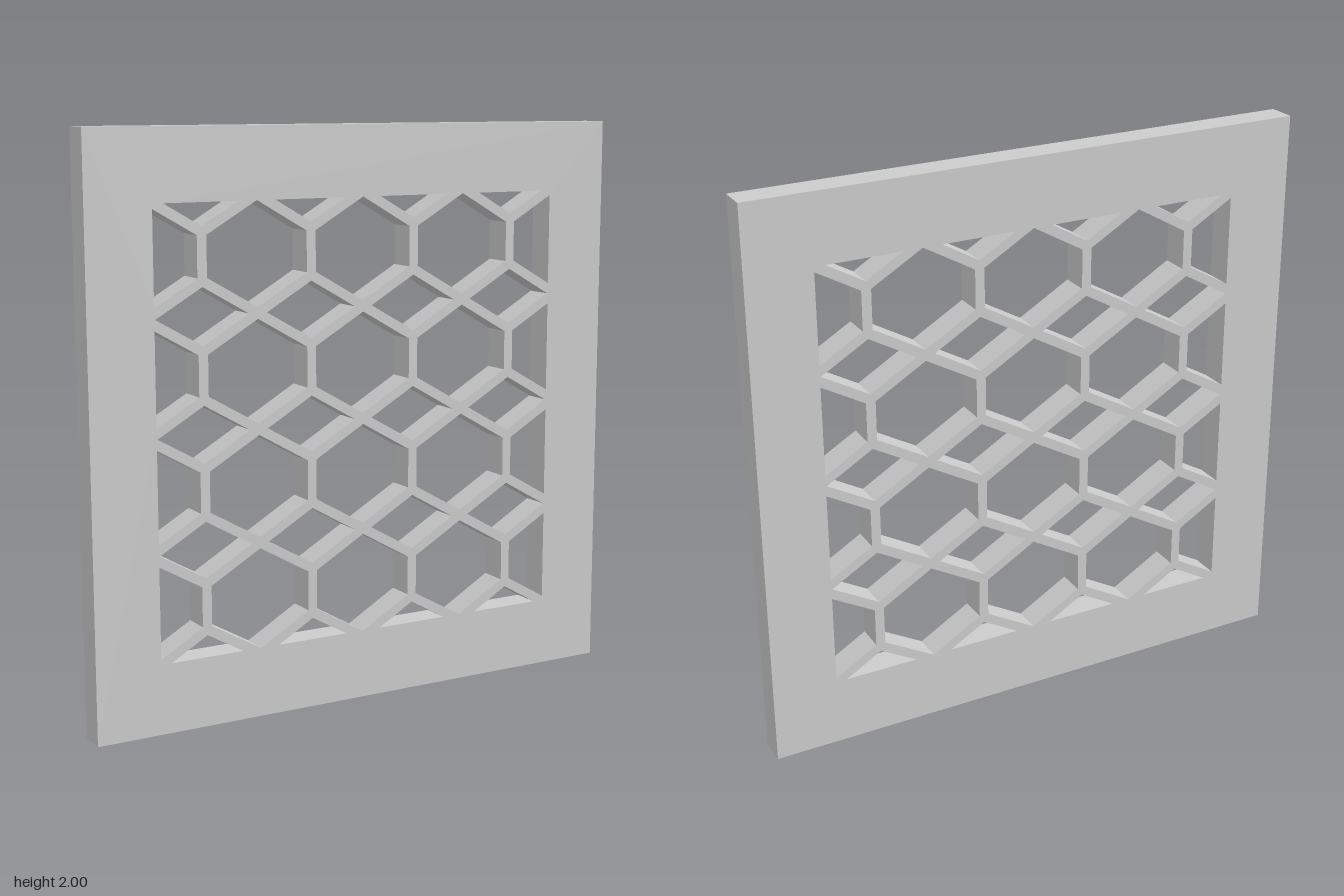
import * as THREE from 'three';

const DX = 0.4, DY = 0.389;          // lattice pitch
const SLOPE = Math.tan(Math.PI / 6); // slope of the diagonal bars
const HEX_W = 0.183, HEX_H = 0.175;  // half sizes of a hexagonal opening
const GEM_W = 0.167;                 // half width of a diamond opening
const LIMIT_X = 0.77, LIMIT_Y = 0.758; // half sizes of the pierced field
const DEPTH = 0.1;

export function createModel() {
  const group = new THREE.Group();
  const panel = new THREE.Shape([[-1, 0], [1, 0], [1, 2], [-1, 2]].map(p => new THREE.Vector2(...p)));

  // cut an opening given by points around the centre (x, y)
  const cut = (x, y, points) => panel.holes.push(
    new THREE.Path(points.map(([px, py]) => new THREE.Vector2(x + px, 1 + y + py))));

  const gemH = GEM_W * SLOPE;
  const shoulder = HEX_H - HEX_W * SLOPE;

  // rows of hexagons, with a half hexagon at each end
  for (let row = -1.5; row <= 1.5; row++) {
    const y = row * DY;
    for (let col = -1; col <= 1; col++) {
      cut(col * DX, y, [[0, HEX_H], [-HEX_W, shoulder], [-HEX_W, -shoulder],
        [0, -HEX_H], [HEX_W, -shoulder], [HEX_W, shoulder]]);
    }
    const inset = 2 * DX - LIMIT_X;
    const edge = HEX_H - inset * SLOPE;
    for (const s of [-1, 1]) {
      cut(s * 2 * DX, y, [[-s * inset, edge], [-s * HEX_W, shoulder],
        [-s * HEX_W, -shoulder], [-s * inset, -edge]]);
    }
  }

  // diamonds between the rows, cut to triangles at top and bottom
  for (let col = -1.5; col <= 1.5; col++) {
    const x = col * DX;
    for (let row = -1; row <= 1; row++) {
      cut(x, row * DY, [[-GEM_W, 0], [0, -gemH], [GEM_W, 0], [0, gemH]]);
    }
    const tip = 2 * DY - gemH;
    const half = (LIMIT_Y - tip) / SLOPE;
    for (const s of [-1, 1]) {
      cut(x, 0, [[-half, s * LIMIT_Y], [0, s * tip], [half, s * LIMIT_Y]]);
    }
  }

  const geometry = new THREE.ExtrudeGeometry(panel, { depth: DEPTH, bevelEnabled: false });
  geometry.translate(0, 0, -DEPTH / 2);
  const mesh = new THREE.Mesh(geometry, new THREE.MeshStandardMaterial({ color: 0xcccccc, flatShading: true }));
  mesh.name = 'latticePanel';
  group.add(mesh);
  return group;
}
